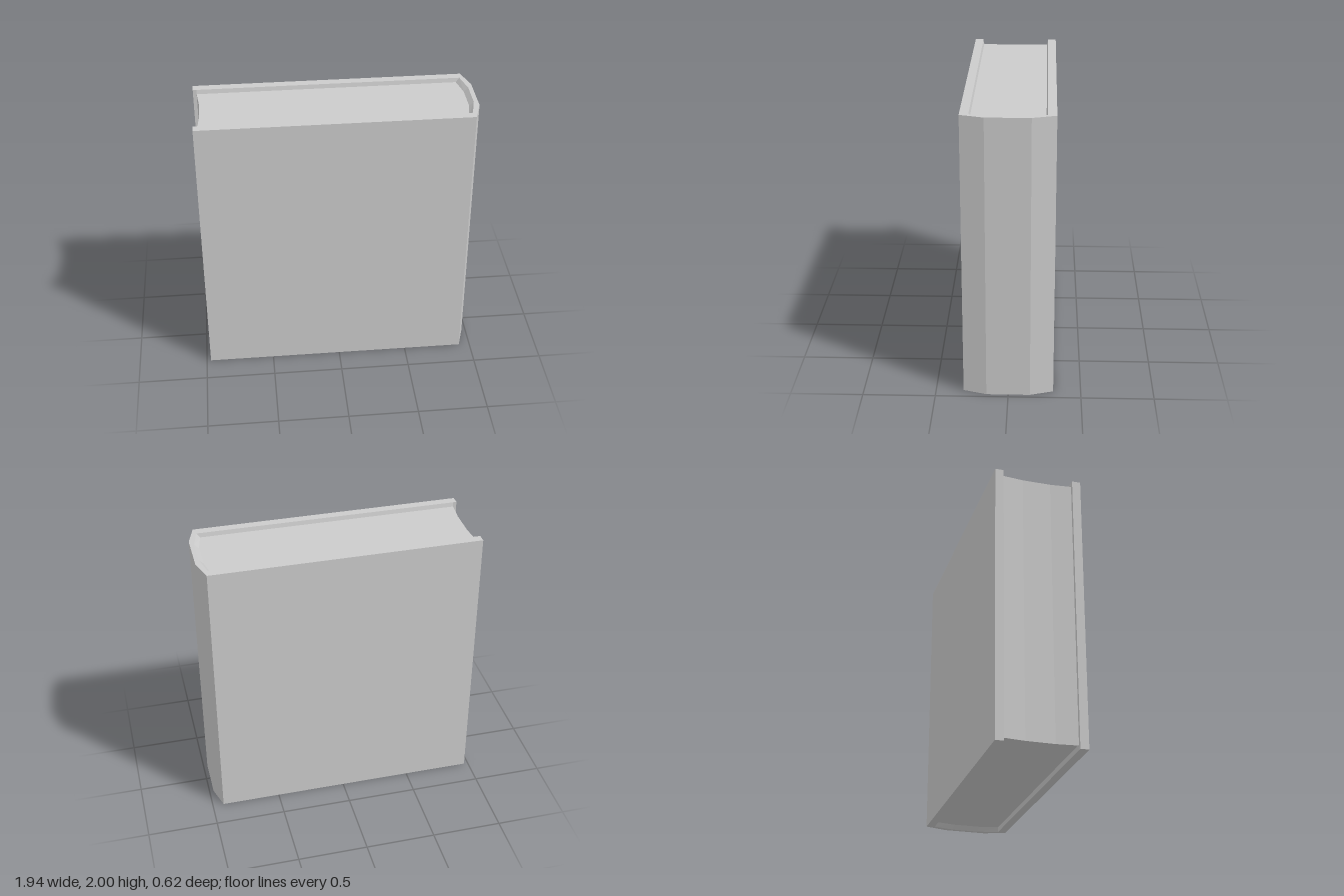
import * as THREE from 'three';

const HEIGHT = 2, RECESS = 0.03;
const mirror = (half) => [...half, ...half.slice().reverse().map(([x, z]) => [x, -z])];

// Plan outlines (x, z), fore edge to spine, mirrored across z = 0
const OUTER = mirror([[-0.97, 0.31], [0.92, 0.31], [0.97, 0.15]]);
const INNER = mirror([[-0.97, 0.25], [0.905, 0.25], [0.94, 0.1]]);
const LINING = mirror([[-0.945, 0.243], [0.88, 0.243], [0.91, 0.1]]);
const FORE_EDGE = [[-0.93, -0.1], [-0.93, 0.1]];

function prism(points, y0, y1) {
  const shape = new THREE.Shape(points.map(([x, z]) => new THREE.Vector2(x, -z)));
  const geo = new THREE.ExtrudeGeometry(shape, { depth: y1 - y0, bevelEnabled: false });
  return geo.rotateX(-Math.PI / 2).translate(0, y0, 0);
}

// Sloped strip from the cover's inner rim down to the pages
function liningStrip(yRim, yPage) {
  const pos = [], index = [];
  INNER.forEach(([x, z], i) => {
    const [px, pz] = LINING[i];
    pos.push(Math.max(x, -0.945), yRim, z, px, yPage, pz);
    if (i) {
      const a = 2 * i - 2;
      index.push(a, a + 1, a + 2, a + 1, a + 3, a + 2);
    }
  });
  const geo = new THREE.BufferGeometry();
  geo.setAttribute('position', new THREE.Float32BufferAttribute(pos, 3));
  geo.setIndex(index);
  const flat = geo.toNonIndexed();
  flat.computeVertexNormals();
  return flat;
}

export function createModel() {
  const book = new THREE.Group();
  book.name = 'book';
  const solid = new THREE.MeshStandardMaterial({ color: 0xcccccc, flatShading: true });
  const thin = new THREE.MeshStandardMaterial({ color: 0xcccccc, flatShading: true, side: THREE.DoubleSide });
  const add = (name, geo, mat = solid) => {
    const mesh = new THREE.Mesh(geo, mat);
    mesh.name = name;
    book.add(mesh);
  };

  // Boards and faceted spine as one folded cover
  add('cover', prism([...OUTER, ...INNER.slice().reverse()], 0, HEIGHT));

  // Page block, hollowed at the fore edge and set back at top and bottom
  const pages = INNER.map(([x, z]) => [Math.max(x, -0.945), z]);
  add('pages', prism([...pages, ...FORE_EDGE], RECESS, HEIGHT - RECESS));

  // Lining between cover and pages at both ends
  add('topLining', liningStrip(HEIGHT, HEIGHT - RECESS), thin);
  add('bottomLining', liningStrip(0, RECESS), thin);

  return book;
}
